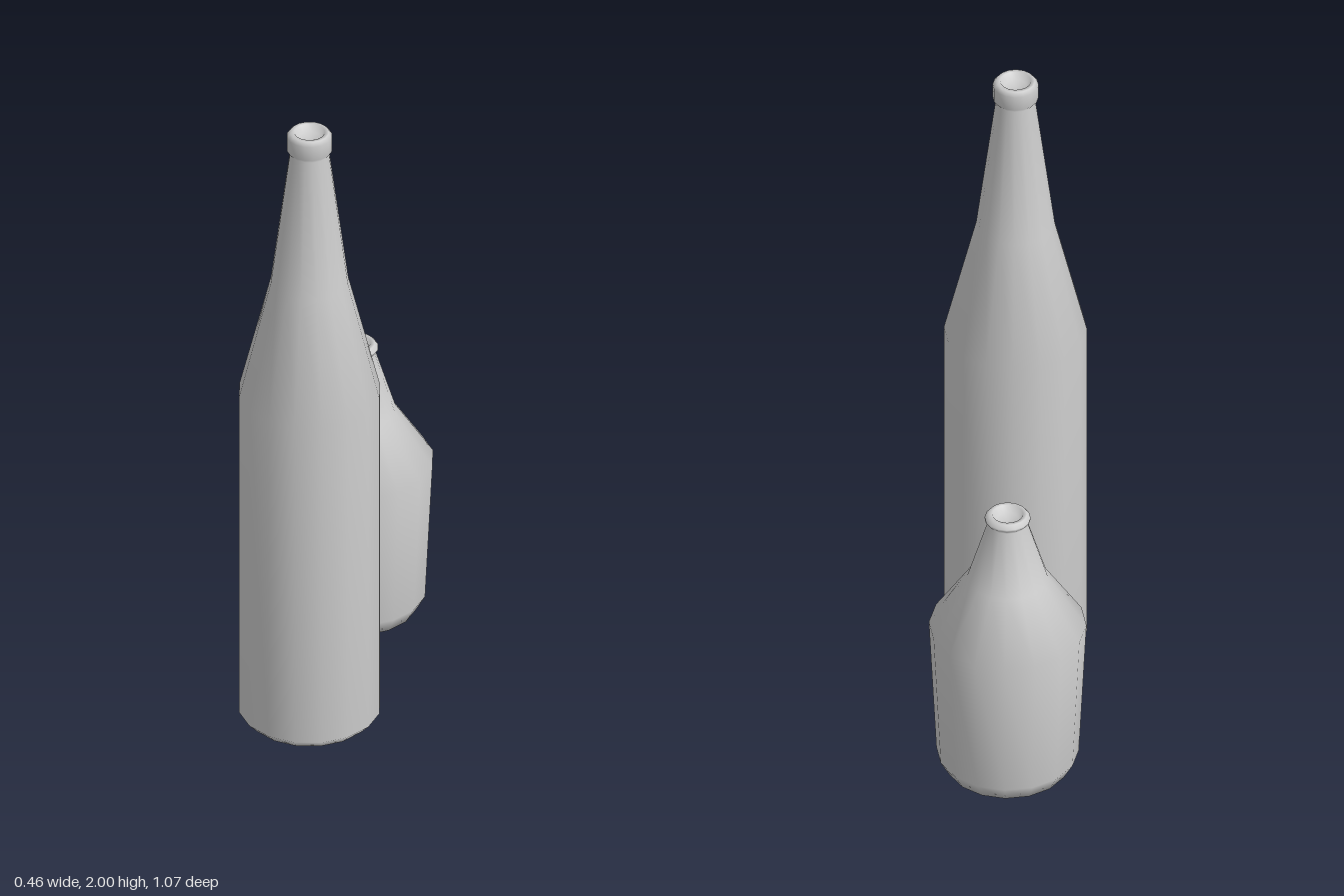
import * as THREE from 'three';

const SIDES = 16;

// Turns a [radius, height] profile, listed from base centre up and into the mouth
function bottle(name, profile, z) {
  const points = profile.map(([r, y]) => new THREE.Vector2(r, y));
  const mesh = new THREE.Mesh(
    new THREE.LatheGeometry(points, SIDES),
    new THREE.MeshStandardMaterial({ color: 0xcccccc })
  );
  mesh.name = name;
  mesh.position.z = z;
  return mesh;
}

// Rounded lip ending in a shallow mouth recess
function lip(bottom, top) {
  return [
    [0.058, bottom], [0.067, bottom + 0.012], [0.067, top - 0.012], [0.057, top],
    [0.045, top], [0.033, top - 0.02], [0, top - 0.02],
  ];
}

export function createModel() {
  const group = new THREE.Group();
  group.name = 'bottles';

  // Tall slender bottle: chamfered base, straight body, two-step taper
  group.add(bottle('tallBottle', [
    [0, 0], [0.18, 0], [0.209, 0.03], [0.209, 1.11], [0.115, 1.49],
    ...lip(1.93, 2),
  ], 0.325));

  // Short bottle: body widens to the shoulder, then a short neck
  group.add(bottle('shortBottle', [
    [0, 0], [0.18, 0], [0.208, 0.05], [0.23, 0.5], [0.118, 0.67],
    ...lip(0.865, 0.895),
  ], -0.302));

  return group;
}
